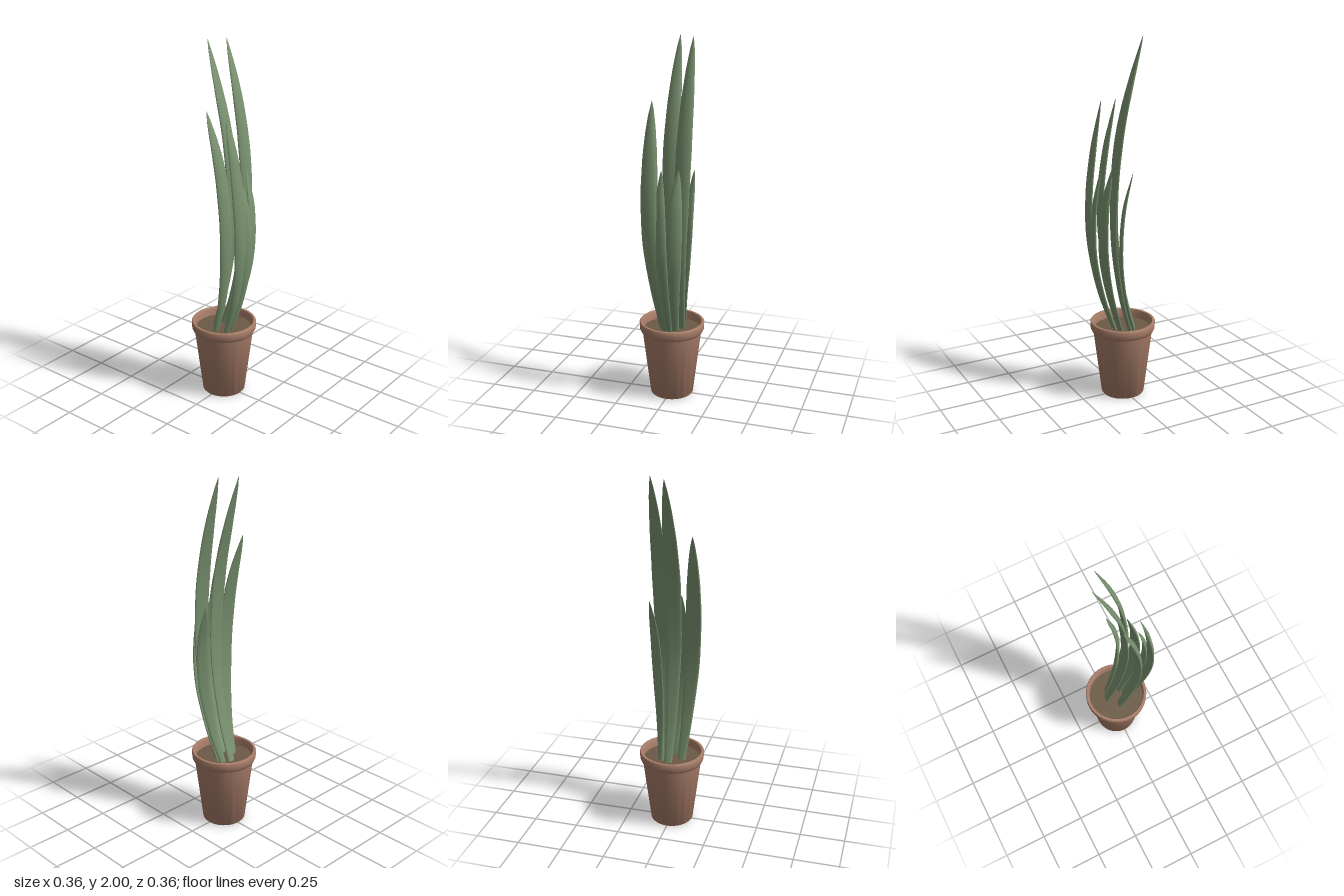
import * as THREE from 'three';
import { toCreasedNormals } from 'three/addons/utils/BufferGeometryUtils.js';

const material = (name, color) => {
  const m = new THREE.MeshStandardMaterial({ color });
  m.name = name;
  return m;
};

// Half-width of a blade along its length: narrow foot, broad middle, pointed tip
const WIDTH = [[0, 0.45], [0.2, 0.72], [0.45, 0.98], [0.65, 1], [0.8, 0.82], [0.9, 0.55], [0.96, 0.3], [1, 0.03]];

function widthAt(t) {
  let k = 0;
  while (k < WIDTH.length - 2 && t > WIDTH[k + 1][0]) k++;
  const [t0, w0] = WIDTH[k], [t1, w1] = WIDTH[k + 1];
  return THREE.MathUtils.lerp(w0, w1, (t - t0) / (t1 - t0));
}

// Lens-shaped, slightly cupped cross-sections swept up a bowed path
function bladeGeometry(points, halfWidth, yaw) {
  const path = new THREE.CatmullRomCurve3(points.map((p) => new THREE.Vector3(...p)));
  const rows = 28, sides = 12, pos = [], index = [];
  for (let i = 0; i <= rows; i++) {
    const t = i / rows, c = path.getPointAt(t), w = halfWidth * widthAt(t);
    const thick = 0.0095 * Math.min(1, (1 - t) * 5 + 0.05);
    for (let j = 0; j < sides; j++) {
      const a = (j / sides) * Math.PI * 2;
      const x = Math.cos(a) * w;
      const z = Math.sin(a) * thick - 0.15 * w * (Math.cos(a) ** 2 - 0.4);
      pos.push(c.x + x * Math.cos(yaw) + z * Math.sin(yaw), c.y, c.z - x * Math.sin(yaw) + z * Math.cos(yaw));
    }
  }
  for (let i = 0; i < rows; i++) {
    for (let j = 0; j < sides; j++) {
      const a = i * sides + j, b = i * sides + ((j + 1) % sides);
      index.push(a, a + sides, b, b, a + sides, b + sides);
    }
  }
  // Close the tip
  for (let j = 1; j < sides - 1; j++) index.push(rows * sides, rows * sides + j + 1, rows * sides + j);
  const g = new THREE.BufferGeometry();
  g.setAttribute('position', new THREE.Float32BufferAttribute(pos, 3));
  g.setIndex(index);
  g.computeVertexNormals();
  return g;
}

export function createModel() {
  const group = new THREE.Group();
  group.name = 'pottedPlant';
  const clay = material('terracotta', 0xa87d68);
  const earth = material('soil', 0x6c5a45);
  const green = material('leafGreen', 0x7b9471);

  const add = (name, geometry, mat) => {
    const mesh = new THREE.Mesh(geometry, mat);
    mesh.name = name;
    group.add(mesh);
    return mesh;
  };

  // Tapered pot with a raised rim and a hollow top
  const profile = [
    [0, 0], [0.115, 0], [0.12, 0.006], [0.165, 0.372], [0.173, 0.376], [0.18, 0.392],
    [0.181, 0.428], [0.178, 0.432], [0.166, 0.432], [0.162, 0.425], [0.158, 0.37],
  ].map(([x, y]) => new THREE.Vector2(x, y));
  add('pot', toCreasedNormals(new THREE.LatheGeometry(profile, 40), 0.7), clay);

  // Soil disc
  const soil = add('soil', new THREE.CircleGeometry(0.161, 24), earth);
  soil.rotation.x = -Math.PI / 2;
  soil.position.y = 0.385;

  // Blades: path points from foot to tip, half-width, yaw
  const blades = [
    // Two tall ones
    [[[0.005, 0.36, -0.07], [0.005, 0.6, 0], [0.005, 0.95, 0.055], [0.006, 1.25, 0.052], [0.007, 1.5, 0.022], [0.008, 1.75, -0.04], [0.01, 2, -0.115]], 0.046, 0],
    [[[0.05, 0.36, -0.025], [0.06, 0.6, 0.043], [0.074, 0.95, 0.095], [0.083, 1.25, 0.09], [0.088, 1.5, 0.062], [0.093, 1.75, 0.01], [0.098, 2, -0.06]], 0.045, -0.1],
    // Two medium ones
    [[[-0.058, 0.36, -0.015], [-0.072, 0.6, 0.048], [-0.09, 0.9, 0.087], [-0.098, 1.15, 0.085], [-0.105, 1.4, 0.048], [-0.118, 1.66, -0.02]], 0.046, -0.12],
    [[[-0.028, 0.36, 0.035], [-0.045, 0.6, 0.117], [-0.068, 0.9, 0.167], [-0.078, 1.15, 0.166], [-0.083, 1.4, 0.135], [-0.088, 1.66, 0.083]], 0.046, -0.08],
    // Three short ones
    [[[0.025, 0.36, 0.02], [0.038, 0.6, 0.098], [0.053, 0.85, 0.145], [0.061, 1.1, 0.142], [0.068, 1.325, 0.1]], 0.044, 0.18],
    [[[0, 0.36, 0.04], [-0.005, 0.6, 0.12], [-0.012, 0.85, 0.167], [-0.017, 1.1, 0.161], [-0.022, 1.32, 0.116]], 0.038, -0.2],
    [[[0.05, 0.36, -0.05], [0.073, 0.6, 0.022], [0.096, 0.85, 0.058], [0.112, 1.1, 0.05], [0.127, 1.31, 0.005]], 0.035, -0.4],
  ];
  blades.forEach(([points, w, yaw], i) => add('leaf' + (i + 1), bladeGeometry(points, w, yaw), green));

  return group;
}
